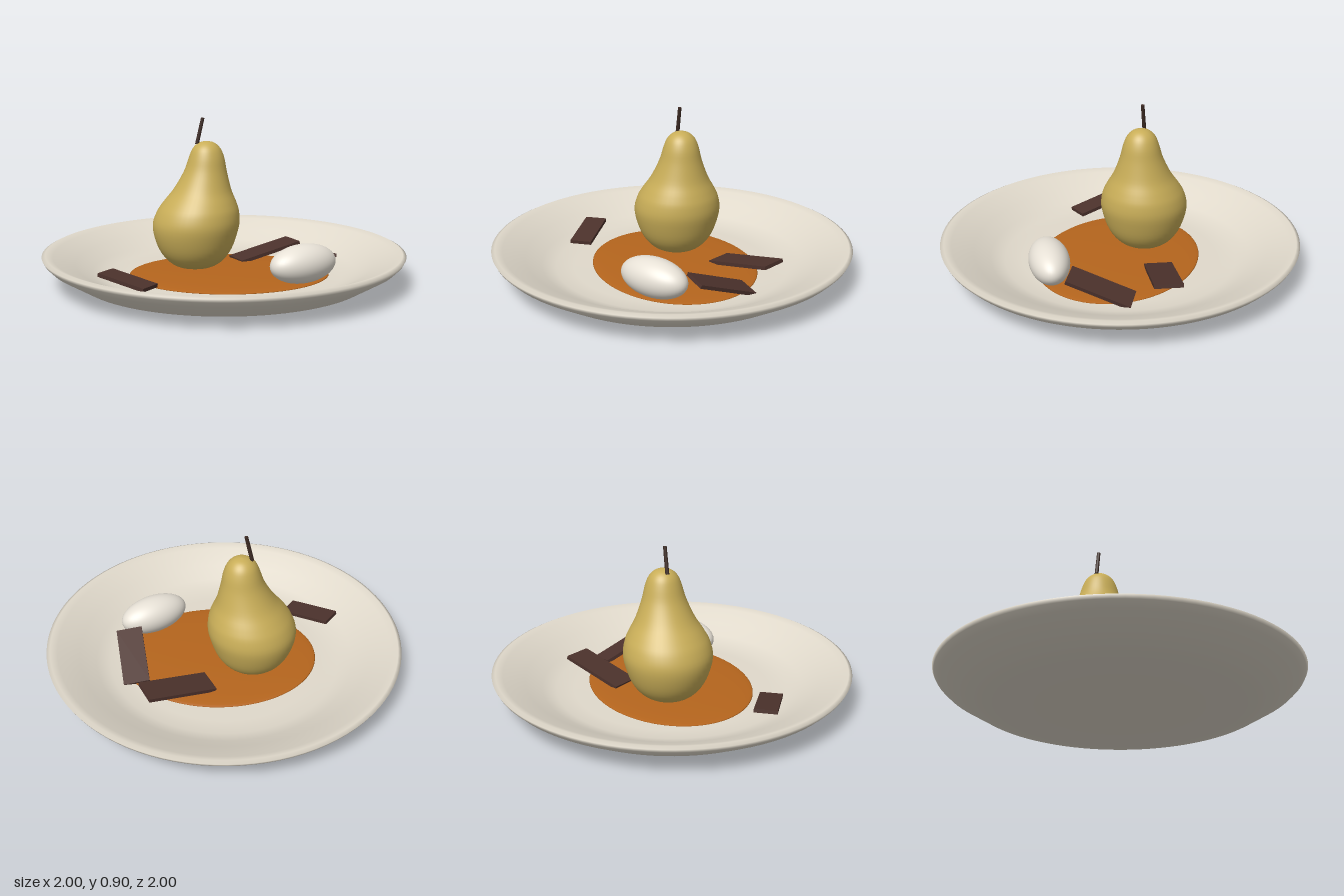
import * as THREE from 'three';

const material = (name, color) => {
  const m = new THREE.MeshStandardMaterial({ color });
  m.name = name;
  return m;
};

const mats = {
  porcelain: material('porcelain', 0xe0d9cb),
  sauce: material('caramel sauce', 0xb5651d),
  pear: material('pear skin', 0xc9ae58),
  cream: material('ice cream', 0xeae4d9),
  chocolate: material('chocolate', 0x4c322c),
  stem: material('stem brown', 0x3d2b24),
};

const v2 = (pts) => pts.map(([x, y]) => new THREE.Vector2(x, y));

export function createModel() {
  const model = new THREE.Group();
  const add = (name, geometry, mat) => {
    const mesh = new THREE.Mesh(geometry, mat);
    mesh.name = name;
    model.add(mesh);
    return mesh;
  };

  // Plate: underside, rolled rim, then the shallow well
  add('plate', new THREE.LatheGeometry(v2([
    [0, 0], [0.66, 0], [0.81, 0.03], [0.96, 0.12], [0.99, 0.15], [1, 0.17],
    [0.98, 0.18], [0.94, 0.165], [0.82, 0.115], [0.73, 0.065], [0.65, 0.04],
    [0.55, 0.035], [0, 0.035],
  ]), 96), mats.porcelain);

  // Sauce: low oval pool
  const sauce = add('saucePool', new THREE.SphereGeometry(1, 64, 24), mats.sauce);
  sauce.scale.set(0.555, 0.02, 0.445);
  sauce.position.set(0.03, 0.037, 0);

  // Pear: turned profile whose neck leans towards +x
  const profile = new THREE.SplineCurve(v2([
    [0, 0.045], [0.1, 0.062], [0.165, 0.105], [0.213, 0.18], [0.243, 0.29],
    [0.232, 0.37], [0.203, 0.43], [0.161, 0.5], [0.12, 0.6], [0.098, 0.68],
    [0.076, 0.73], [0.042, 0.76], [0, 0.77],
  ])).getPoints(48);
  profile.forEach((p) => { p.x = Math.max(p.x, 0); });
  const pearGeo = new THREE.LatheGeometry(profile, 48);
  const pos = pearGeo.attributes.position;
  for (let i = 0; i < pos.count; i++) {
    const lean = 0.065 * THREE.MathUtils.smoothstep(pos.getY(i), 0.22, 0.7);
    pos.setX(i, pos.getX(i) + lean);
  }
  // Shared normals across the lathe seam
  const normal = pearGeo.attributes.normal;
  pearGeo.computeVertexNormals();
  const rows = profile.length;
  for (let j = 0; j < rows; j++) {
    const a = new THREE.Vector3().fromBufferAttribute(normal, j);
    const last = 48 * rows + j;
    a.add(new THREE.Vector3().fromBufferAttribute(normal, last)).normalize();
    normal.setXYZ(j, a.x, a.y, a.z);
    normal.setXYZ(last, a.x, a.y, a.z);
  }
  add('pear', pearGeo, mats.pear).position.set(-0.158, 0, -0.09);

  // Stem
  const stem = add('stem', new THREE.CylinderGeometry(0.01, 0.011, 0.15, 10), mats.stem);
  stem.position.set(-0.13, 0.825, -0.09);
  stem.rotation.z = -0.22;

  // Oval scoop
  const scoop = add('iceCreamScoop', new THREE.SphereGeometry(1, 48, 32), mats.cream);
  scoop.scale.set(0.205, 0.105, 0.11);
  scoop.position.set(0.41, 0.15, 0.258);
  scoop.rotation.y = 0.534;

  // Chocolate shards: length, width, centre, yaw, pitch, roll
  [
    [0.4, 0.155, [0.258, 0.09, -0.335], 0.445, 0.19, 0],
    [0.36, 0.145, [0.517, 0.1, -0.076], -1.4, 0.34, -0.13],
    [0.3, 0.125, [-0.52, 0.09, 0.335], -0.61, -0.14, 0],
  ].forEach(([length, width, centre, yaw, pitch, roll], i) => {
    const shard = add(`chocolateShard${i + 1}`, new THREE.BoxGeometry(length, 0.02, width), mats.chocolate);
    shard.position.set(...centre);
    shard.rotation.set(roll, yaw, pitch, 'YZX');
  });

  return model;
}
